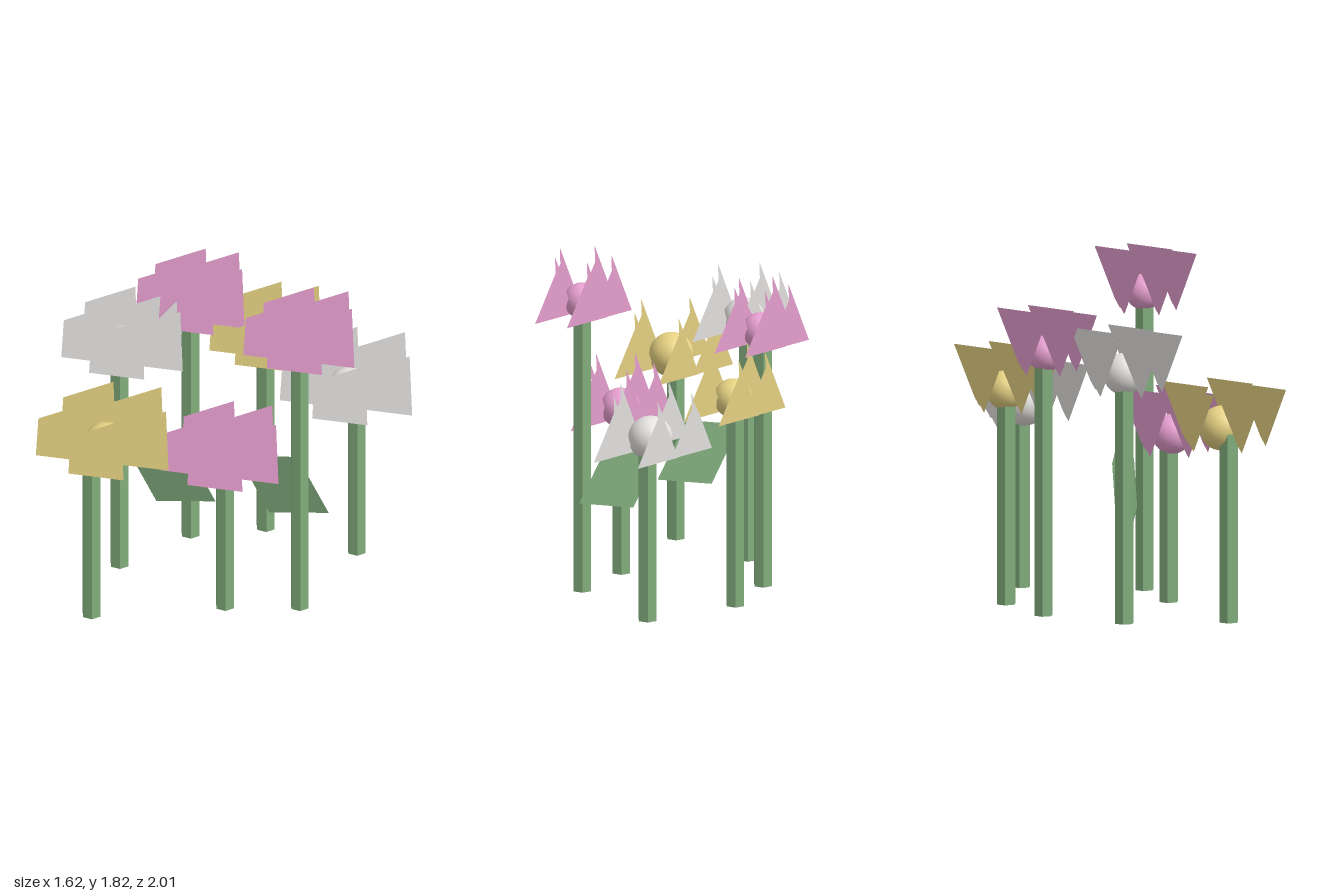
import * as THREE from 'three';

const PINK = 0xe79fd0, WHITE = 0xe4e2e0, YELLOW = 0xe6d283, GREEN = 0x82ae7d;

// blossom centre x, z; petal base height; petal ring radius; heart radius; stem x, z; colour
const FLOWERS = [
  { x: 0.512, z: -0.025, y: 1.53, ring: 0.16, heart: 0.097, sx: 0.508, sz: -0.02, color: PINK },
  { x: 0.183, z: 0.235, y: 0.83, ring: 0.178, heart: 0.107, sx: 0.187, sz: 0.215, color: PINK },
  { x: -0.405, z: -0.29, y: 1.335, ring: 0.154, heart: 0.097, sx: -0.42, sz: -0.295, color: PINK },
  { x: -0.505, z: 0.18, y: 1.265, ring: 0.19, heart: 0.112, sx: -0.53, sz: 0.19, color: WHITE },
  { x: 0.37, z: -0.645, y: 0.92, ring: 0.221, heart: 0.12, sx: 0.4, sz: -0.675, color: WHITE },
  { x: -0.282, z: 0.655, y: 0.96, ring: 0.222, heart: 0.12, sx: -0.33, sz: 0.71, color: YELLOW },
  { x: -0.123, z: -0.6, y: 1.075, ring: 0.173, heart: 0.105, sx: -0.14, sz: -0.59, color: YELLOW },
];

const material = (color, extra = {}) => new THREE.MeshStandardMaterial({ color, ...extra });

function addMesh(parent, name, geometry, mat, x = 0, y = 0, z = 0) {
  const mesh = new THREE.Mesh(geometry, mat);
  mesh.name = name;
  mesh.position.set(x, y, z);
  parent.add(mesh);
}

// Sheet of two triangles: top edge mostly along z, bottom edge mostly along x, shaded as one face
function petalGeometry() {
  const geometry = new THREE.PlaneGeometry(2, 1);
  const { position, normal } = geometry.attributes;
  for (let i = 0; i < position.count; i++) {
    const u = position.getX(i), top = position.getY(i) > 0;
    position.setXYZ(i, u * (top ? 0.058 : 0.14), top ? 0.295 : 0, -u * (top ? 0.146 : 0.058));
    normal.setXYZ(i, Math.SQRT1_2, 0, Math.SQRT1_2);
  }
  return geometry;
}

// Flat slanted leaf, a parallelogram from four corners
function leafGeometry() {
  const corners = [[-0.26, 0.11], [0.08, 0.19], [0.26, -0.11], [-0.08, -0.19]];
  const shape = new THREE.Shape(corners.map(([x, y]) => new THREE.Vector2(x, y)));
  const geometry = new THREE.ShapeGeometry(shape);
  const p = geometry.attributes.position;
  for (let i = 0; i < p.count; i++) p.setZ(i, -0.21 * p.getX(i));
  geometry.computeVertexNormals();
  return geometry;
}

export function createModel() {
  const model = new THREE.Group();
  model.name = 'flowerPatch';
  const petal = petalGeometry();
  const leaf = leafGeometry();
  const stemMat = material(GREEN, { flatShading: true });
  const leafMat = material(GREEN, { side: THREE.DoubleSide });

  for (const f of FLOWERS) {
    const flower = new THREE.Group();
    flower.name = 'flower';
    model.add(flower);

    // six-sided stem, ending inside the heart
    const height = f.y + 0.06;
    const stem = new THREE.CylinderGeometry(0.053, 0.053, height, 6, 1, false, THREE.MathUtils.degToRad(40));
    addMesh(flower, 'stem', stem, stemMat, f.sx, height / 2, f.sz);

    // round heart
    addMesh(flower, 'heart', new THREE.SphereGeometry(f.heart, 24, 16), material(f.color),
      f.x, f.y + 0.077, f.z);

    // five petals, all facing the same way, around the heart
    const petalMat = material(f.color, { side: THREE.DoubleSide });
    for (let k = 0; k < 5; k++) {
      const a = THREE.MathUtils.degToRad(-6 + 72 * k);
      addMesh(flower, 'petal', petal, petalMat,
        f.x + f.ring * Math.cos(a), f.y, f.z + f.ring * Math.sin(a));
    }
  }

  // two leaves
  addMesh(model, 'leaf', leaf, leafMat, -0.23, 0.64, 0.142);
  addMesh(model, 'leaf', leaf, leafMat, 0.327, 0.64, -0.118);
  return model;
}
